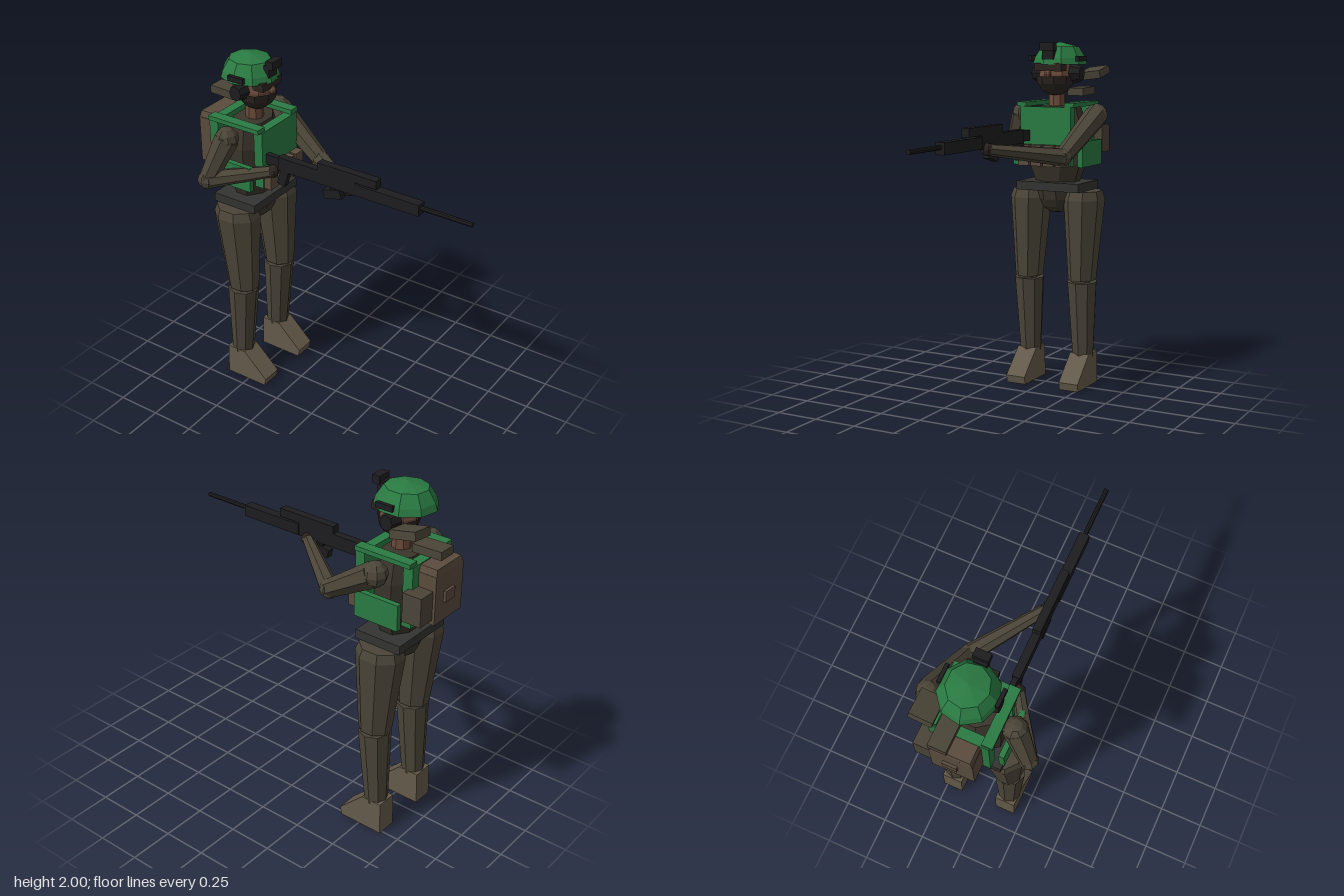
import * as THREE from 'three';

const MID = -0.038; // z of the figure's plane of symmetry
const CX = -0.57; // x of the body's axis

export function createModel() {
  const model = new THREE.Group();
  const mat = (color) => new THREE.MeshStandardMaterial({ color, flatShading: true });
  const green = mat(0x2a7a42), olive = mat(0x4b4538), shirt = mat(0x3a352b), dark = mat(0x1d1d1f);
  const brown = mat(0x5a4c3d), skin = mat(0x6a4a3a), mask = mat(0x2b2420), boot = mat(0x645a4a), belt = mat(0x333431);

  function add(name, geometry, material, x = 0, y = 0, z = 0) {
    const mesh = new THREE.Mesh(geometry, material);
    mesh.name = name;
    mesh.position.set(x, y, z);
    model.add(mesh);
    return mesh;
  }
  // Box given by its limits on each axis
  function block(name, material, x0, x1, y0, y1, z0, z1) {
    const g = new THREE.BoxGeometry(x1 - x0, y1 - y0, z1 - z0);
    return add(name, g, material, (x0 + x1) / 2, (y0 + y1) / 2, (z0 + z1) / 2);
  }
  // Tapered tube between two points
  function limb(name, material, a, b, ra, rb, sides = 7) {
    const p = new THREE.Vector3(...a), q = new THREE.Vector3(...b);
    const d = q.clone().sub(p);
    const mesh = add(name, new THREE.CylinderGeometry(rb, ra, d.length(), sides), material);
    mesh.position.copy(p).add(q).multiplyScalar(0.5);
    mesh.quaternion.setFromUnitVectors(new THREE.Vector3(0, 1, 0), d.normalize());
    return mesh;
  }
  const ball = (name, material, r, x, y, z) =>
    add(name, new THREE.SphereGeometry(r, 8, 6), material, x, y, z);
  const lathe = (points, sides) =>
    new THREE.LatheGeometry(points.map((p) => new THREE.Vector2(...p)), sides);

  // Legs, with a boot profile extruded across z
  const sole = new THREE.Shape([[-0.645, 0], [-0.38, 0], [-0.37, 0.045], [-0.52, 0.19], [-0.64, 0.19]]
    .map((p) => new THREE.Vector2(...p)));
  for (const s of [1, -1]) {
    const side = s > 0 ? 'left' : 'right';
    const z = MID + s * 0.172;
    const thigh = add(side + 'Thigh', lathe([[0, 0.63], [0.088, 0.63], [0.13, 1.1], [0.113, 1.15], [0, 1.15]], 8), olive, CX, 0, z);
    thigh.geometry.rotateY(Math.PI / 8);
    thigh.geometry.scale(1.06, 1, 0.9);
    // Shift the thigh back at the hip
    const pos = thigh.geometry.attributes.position;
    for (let i = 0; i < pos.count; i++) pos.setX(i, pos.getX(i) + (1.1 - pos.getY(i)) * 0.045);
    ball(side + 'Knee', brown, 0.06, -0.535, 0.63, z);
    limb(side + 'Shin', olive, [-0.572, 0.17, z], [-0.55, 0.62, z], 0.064, 0.09, 8);
    const shoe = new THREE.ExtrudeGeometry(sole, { depth: 0.12, bevelEnabled: false });
    add(side + 'Boot', shoe, boot, 0, 0, z - 0.06);
  }

  // Hips, belt and torso
  const bowl = add('pelvis', new THREE.SphereGeometry(1, 9, 4, 0, Math.PI * 2, Math.PI / 2, Math.PI / 2), shirt, CX, 1.15, MID);
  bowl.scale.set(0.12, 0.14, 0.125);
  block('belt', belt, -0.705, -0.43, 1.15, 1.2, -0.235, 0.16);
  const torso = add('torso', lathe([[0, 1.18], [0.092, 1.18], [0.125, 1.3], [0.13, 1.5], [0.1, 1.63], [0, 1.645]], 8), shirt, CX, 0, MID);
  torso.geometry.rotateY(Math.PI / 8);
  torso.scale.z = 1.4;

  // Vest
  block('frontPlate', green, -0.45, -0.395, 1.3, 1.635, -0.2, 0.115);
  block('backPlate', green, -0.742, -0.685, 1.3, 1.64, -0.2, 0.125);
  for (const s of [1, -1]) {
    const z = MID + s * 0.15, w = MID + s * 0.205;
    block('shoulderStrap', green, -0.735, -0.4, 1.635, 1.66, z - 0.03, z + 0.03);
    block('sidePanel', green, -0.7, -0.435, 1.295, 1.44, w - 0.015, w + 0.015);
  }
  for (let i = 0; i < 4; i++) {
    const z = -0.16 + i * 0.078;
    block('magazinePouch', brown, -0.4, -0.35, 1.3, 1.42, z - 0.033, z + 0.033);
  }

  // Backpack and its rolled gear
  block('backpack', brown, -0.845, -0.735, 1.335, 1.6, -0.15, 0.085);
  const lid = add('packLid', new THREE.CylinderGeometry(0.07, 0.0778, 0.035, 4).rotateY(Math.PI / 4), brown, -0.79, 1.617, -0.033);
  lid.scale.z = 2.1;
  block('packPocket', brown, -0.86, -0.84, 1.44, 1.5, -0.08, 0.0);
  block('packSidePouch', olive, -0.83, -0.72, 1.36, 1.52, -0.25, -0.15);
  block('lowerScarfEnd', olive, -0.86, -0.69, 1.69, 1.735, -0.14, -0.04).rotation.z = -0.03;
  block('upperScarfEnd', olive, -0.79, -0.64, 1.8, 1.845, -0.265, -0.14).rotation.set(0.12, 0, -0.2);

  // Head
  limb('neck', skin, [-0.557, 1.6, MID], [-0.557, 1.75, MID], 0.052, 0.048, 8);
  ball('head', skin, 0.105, -0.54, 1.81, MID).scale.set(0.95, 1.05, 0.98);
  const cover = add('faceMask', new THREE.SphereGeometry(0.112, 9, 4, 0, Math.PI * 2, Math.PI / 2, Math.PI / 2), mask, -0.535, 1.805, MID);
  cover.material.side = THREE.DoubleSide;
  ball('nose', skin, 0.022, -0.432, 1.82, MID);
  block('brow', mask, -0.5, -0.43, 1.835, 1.88, MID - 0.085, MID + 0.085);
  for (const s of [1, -1]) {
    const cup = limb('earCup', dark, [-0.565, 1.82, MID + s * 0.09], [-0.565, 1.82, MID + s * 0.152], 0.058, 0.042, 8);
    cup.scale.x = 0.9;
    const z = MID + s * 0.15;
    block('helmetRail', dark, -0.605, -0.505, 1.89, 1.92, z - 0.01, z + 0.01);
  }

  // Helmet
  const shell = add('helmet', lathe([[0, 1.872], [0.166, 1.872], [0.155, 1.91], [0.115, 1.972], [0, 2]], 9), green, -0.58, 0, MID - 0.005);
  shell.scale.z = 0.94;
  block('opticMount', dark, -0.46, -0.425, 1.9, 1.965, -0.075, -0.005);
  block('helmetOptic', dark, -0.445, -0.4, 1.95, 1.995, -0.085, -0.002);

  // Arms: shoulder, elbow, wrist
  const arms = {
    left: [[-0.575, 1.585, 0.19], [-0.64, 1.365, 0.29], [-0.34, 1.42, 0.1]],
    right: [[-0.575, 1.585, -0.28], [-0.25, 1.37, -0.225], [0.12, 1.43, 0.05]],
  };
  for (const [side, [shoulder, elbow, wrist]] of Object.entries(arms)) {
    ball(side + 'Shoulder', olive, 0.068, ...shoulder);
    limb(side + 'UpperArm', olive, shoulder, elbow, 0.07, 0.05);
    ball(side + 'Elbow', olive, 0.054, ...elbow);
    limb(side + 'Forearm', olive, elbow, wrist, 0.052, 0.032);
    ball(side + 'Hand', mask, 0.036, ...wrist);
  }

  // Rifle
  block('stock', dark, -0.42, -0.3, 1.44, 1.5, 0.055, 0.085);
  block('receiver', dark, -0.31, 0.18, 1.432, 1.51, 0.048, 0.092);
  block('handguard', dark, 0.18, 0.565, 1.435, 1.5, 0.042, 0.097);
  limb('barrel', dark, [0.56, 1.473, 0.07], [0.86, 1.473, 0.07], 0.013, 0.013, 8);
  block('scope', dark, -0.055, 0.31, 1.507, 1.555, 0.047, 0.093);
  block('pistolGrip', dark, -0.31, -0.26, 1.34, 1.44, 0.053, 0.087).rotation.z = -0.3;
  block('foregrip', dark, -0.02, 0.09, 1.365, 1.415, 0.05, 0.09).rotation.z = 0.25;
  block('foregripMount', dark, 0.02, 0.07, 1.39, 1.44, 0.055, 0.085);

  return model;
}
